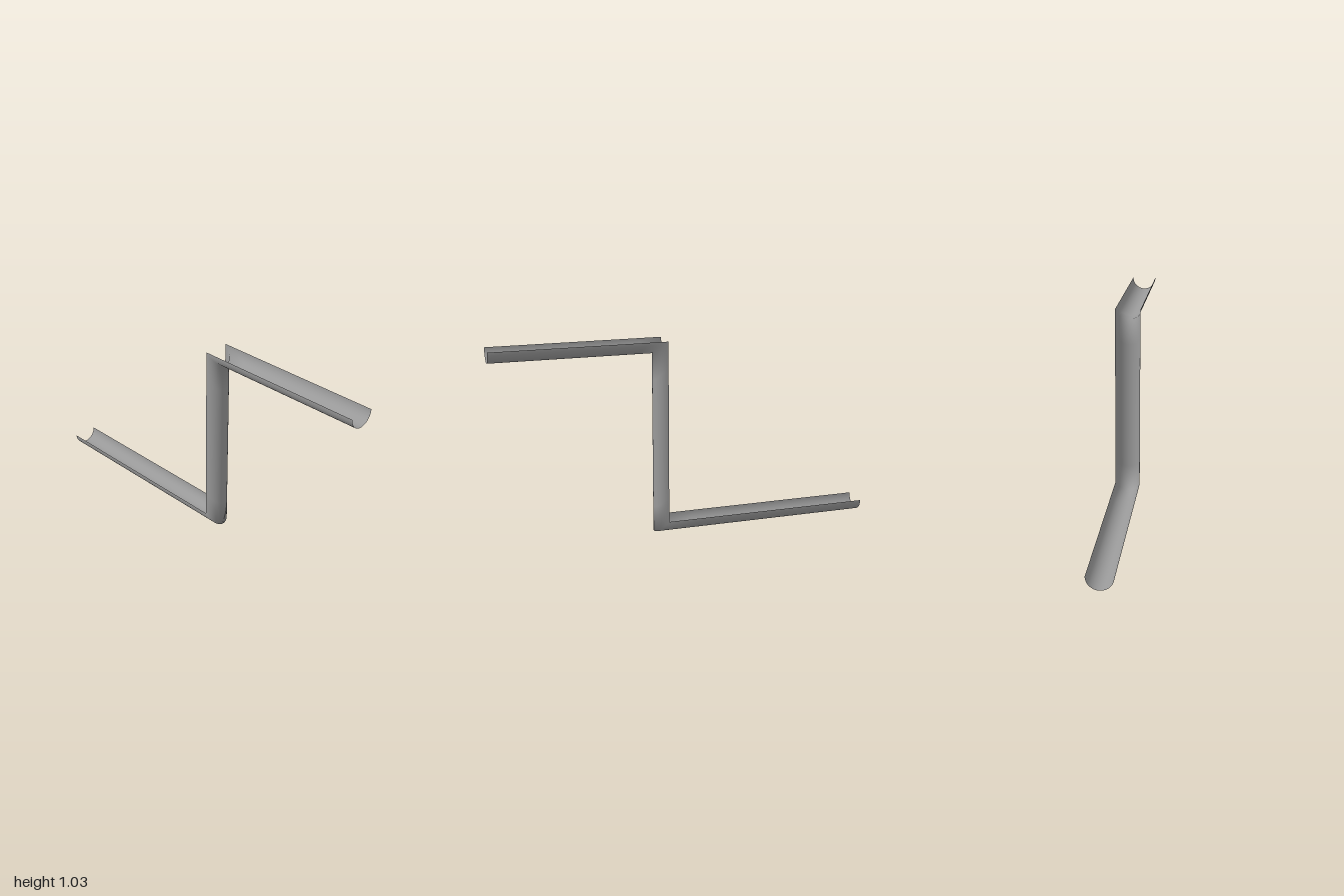
import * as THREE from 'three';

const R = 0.066;       // gutter radius
const BEND_X = 0.107;  // rim position of the upright run
const TOP = 1.027;     // rim height of the upper run
const ARC = 24;        // facets across the half round

// Half-round channel swept along a Z-shaped path with mitred corners
function channelGeometry() {
  // each corner: rim position, and how it shifts with depth e below the rim
  const corners = [
    (e) => [-1, R - e],
    (e) => [BEND_X + e, R - e],
    (e) => [BEND_X + e, TOP - e],
    (e) => [1, TOP - e],
  ];
  const steps = [6, 7, 9];
  const rings = [];
  steps.forEach((n, s) => {
    for (let k = s ? 1 : 0; k <= n; k++) rings.push([s, k / n]);
  });

  const position = [];
  const index = [];
  rings.forEach(([s, t], i) => {
    for (let j = 0; j <= ARC; j++) {
      const a = (j / ARC) * Math.PI;
      const e = R * Math.sin(a);
      const [x0, y0] = corners[s](e);
      const [x1, y1] = corners[s + 1](e);
      position.push(x0 + (x1 - x0) * t, y0 + (y1 - y0) * t, R * Math.cos(a));
      if (i && j) {
        const d = i * (ARC + 1) + j;
        const c = d - 1;
        const b = d - ARC - 1;
        const p = b - 1;
        index.push(p, b, c, b, d, c);
      }
    }
  });

  const g = new THREE.BufferGeometry();
  g.setAttribute('position', new THREE.Float32BufferAttribute(position, 3));
  g.setIndex(index);
  g.computeVertexNormals();
  return g;
}

export function createModel() {
  const group = new THREE.Group();
  group.name = 'gutter';
  const material = new THREE.MeshStandardMaterial({ color: 0x999999, side: THREE.DoubleSide });
  const channel = new THREE.Mesh(channelGeometry(), material);
  channel.name = 'halfRoundChannel';
  group.add(channel);
  return group;
}
